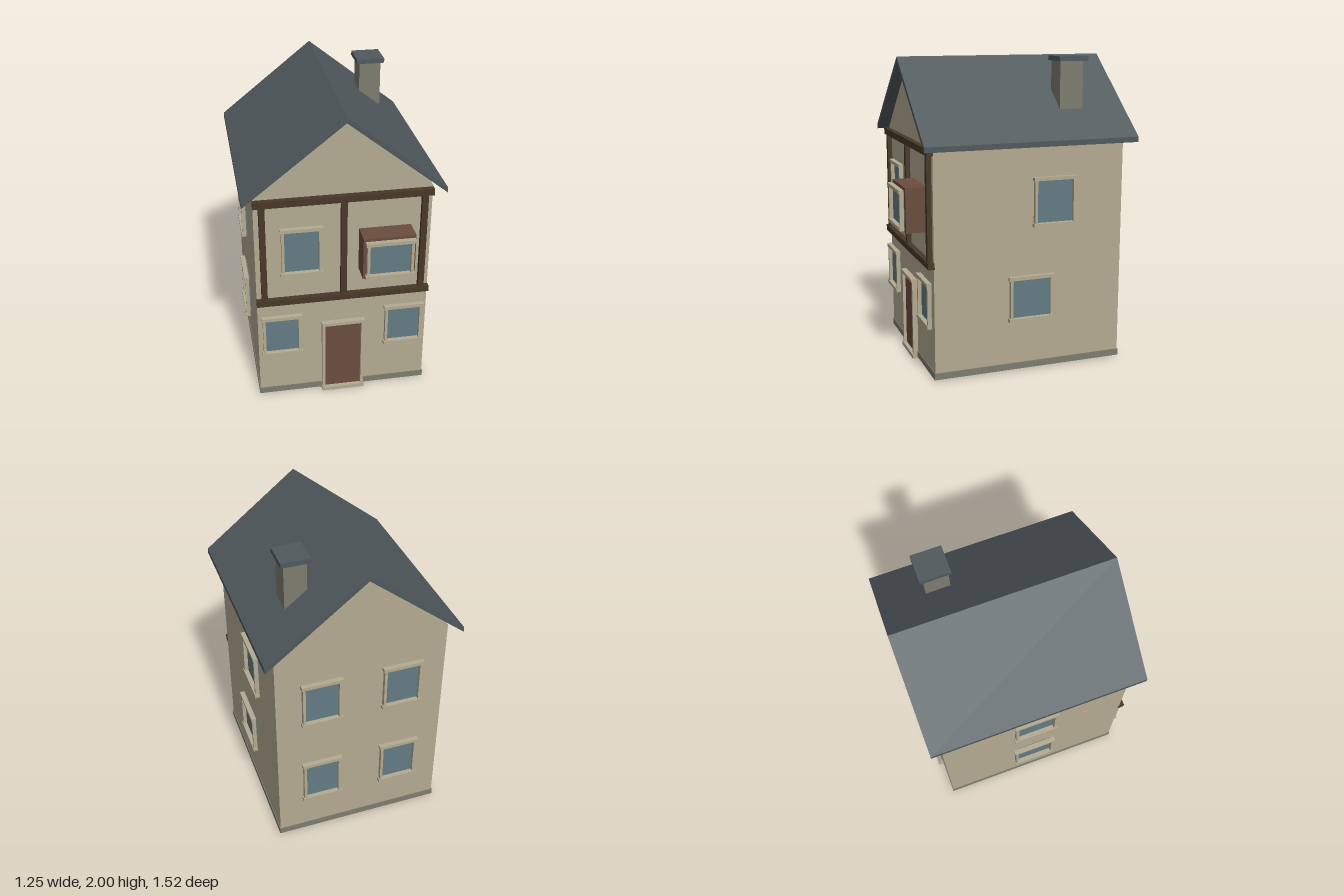
import * as THREE from 'three';

const mat = (name, color) => {
  const m = new THREE.MeshStandardMaterial({ color });
  m.name = name;
  return m;
};

export function createModel() {
  const plaster = mat('plaster', 0xb3aa90);
  const slate = mat('slate', 0x50595d);
  const stone = mat('stone', 0x7d7c6e);
  const timber = mat('dark timber', 0x483929);
  const wood = mat('red brown wood', 0x694d3d);
  const glass = mat('glass', 0x627c83);

  const house = new THREE.Group();
  house.name = 'house';

  // Box given by its minimum and maximum corners
  const box = (name, material, x0, x1, y0, y1, z0, z1, parent = house) => {
    const mesh = new THREE.Mesh(new THREE.BoxGeometry(x1 - x0, y1 - y0, z1 - z0), material);
    mesh.position.set((x0 + x1) / 2, (y0 + y1) / 2, (z0 + z1) / 2);
    mesh.name = name;
    parent.add(mesh);
    return mesh;
  };

  // Outline in x and y, extruded from z0 to z1
  const prism = (name, material, points, z0, z1) => {
    const shape = new THREE.Shape(points.map(([x, y]) => new THREE.Vector2(x, y)));
    const geo = new THREE.ExtrudeGeometry(shape, { depth: z1 - z0, bevelEnabled: false });
    const mesh = new THREE.Mesh(geo, material);
    mesh.position.z = z0;
    mesh.name = name;
    house.add(mesh);
  };

  // Window facing +z, with thin pane and a raised frame whose rails overhang the jambs
  const makeWindow = (name, w, h) => {
    const g = new THREE.Group();
    g.name = name;
    const a = w / 2, b = h / 2;
    box('pane', glass, -a + 0.024, a - 0.024, -b + 0.019, b - 0.019, 0.002, 0.0115, g);
    for (const s of [-1, 1]) {
      const jx = s * (a - 0.017), ry = s * (b - 0.011);
      box('jamb', plaster, jx - 0.009, jx + 0.009, -b + 0.02, b - 0.02, 0.01, 0.036, g);
      box('rail', plaster, -a, a, ry - 0.011, ry + 0.011, 0.01, 0.042, g);
    }
    house.add(g);
    return g;
  };

  // Walls with gables, and the plinth
  prism('walls', plaster,
    [[-0.555, 0.03], [0.555, 0.03], [0.555, 1.485], [0, 1.965], [-0.555, 1.485]], -0.685, 0.585);
  box('plinth', stone, -0.56, 0.56, 0.01, 0.053, -0.69, 0.59);

  // Roof
  prism('roof', slate,
    [[-0.627, 1.463], [0, 1.96], [0.627, 1.463], [0.627, 1.497], [0, 1.996], [-0.627, 1.497]],
    -0.757, 0.655);

  // Chimney
  box('chimney', stone, 0.27, 0.413, 1.63, 1.975, -0.46, -0.302);
  box('chimneyCap', slate, 0.25, 0.435, 1.97, 2.0, -0.485, -0.288);

  // Timber framing on the upper front
  for (const [y0, y1] of [[0.73, 0.77], [1.432, 1.475]])
    box('beam', timber, -0.557, 0.557, y0, y1, 0.58, 0.622);
  for (const x of [-0.505, 0, 0.505])
    box('post', timber, x - 0.019, x + 0.019, 0.765, 1.437, 0.58, 0.615);

  // Front door
  box('door', wood, -0.12, 0.12, 0.025, 0.532, 0.58, 0.598);
  for (const s of [-1, 1])
    box('doorJamb', plaster, s * 0.129 - 0.01, s * 0.129 + 0.01, 0.02, 0.535, 0.58, 0.618);
  box('doorLintel', plaster, -0.141, 0.141, 0.53, 0.551, 0.58, 0.624);
  box('doorSill', plaster, -0.141, 0.141, 0, 0.026, 0.58, 0.624);

  // Projecting bay
  box('bay', wood, 0.098, 0.427, 0.938, 1.223, 0.58, 0.723);
  makeWindow('bayWindow', 0.31, 0.255).position.set(0.264, 1.081, 0.72);

  // Front windows
  for (const s of [-1, 1])
    makeWindow('frontLowerWindow', 0.264, 0.296).position.set(s * 0.401, 0.488, 0.585);
  makeWindow('frontUpperWindow', 0.268, 0.335).position.set(-0.266, 1.107, 0.585);

  // Back windows
  for (const x of [-0.265, 0.265])
    for (const y of [0.46, 1.109]) {
      const w = makeWindow('backWindow', 0.268, 0.318);
      w.position.set(x, y, -0.685);
      w.rotation.y = Math.PI;
    }

  // Side windows: side, width, height, y, z
  for (const [s, width, height, y, z] of [
    [1, 0.296, 0.317, 1.109, -0.207], [1, 0.306, 0.297, 0.489, -0.051],
    [-1, 0.3, 0.317, 1.109, -0.05], [-1, 0.3, 0.32, 0.46, -0.05],
  ]) {
    const w = makeWindow(s > 0 ? 'leftWindow' : 'rightWindow', width, height);
    w.position.set(s * 0.555, y, z);
    w.rotation.y = s * Math.PI / 2;
  }

  return house;
}
